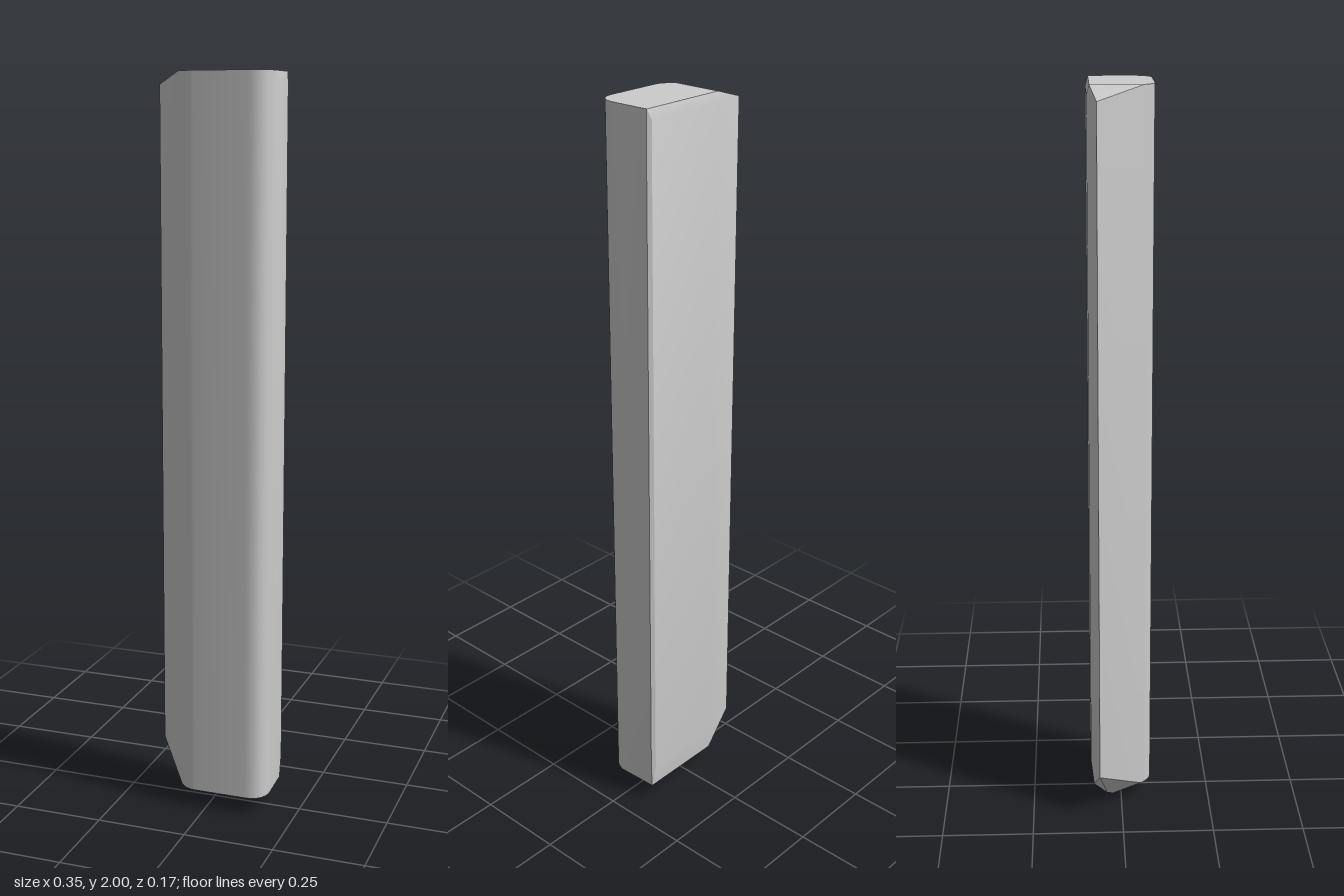
import * as THREE from 'three';
import { ConvexGeometry } from 'three/addons/geometries/ConvexGeometry.js';
import { toCreasedNormals } from 'three/addons/utils/BufferGeometryUtils.js';

// Half-round plan corner sampled from a quadratic curve
function corner(a, b, c, n) {
  return new THREE.QuadraticBezierCurve(
    new THREE.Vector2(...a), new THREE.Vector2(...b), new THREE.Vector2(...c)
  ).getPoints(n).map((p) => [p.x, p.y]);
}

export function createModel() {
  const group = new THREE.Group();
  const points = [];
  const add = (x, y, z) => points.push(new THREE.Vector3(x, y, z));

  // Rounded front corners, plan coordinates [x, z]
  const front = [
    ...corner([0.171, 0.035], [0.163, 0.084], [0.115, 0.084], 8),
    ...corner([-0.03, 0.084], [-0.06, 0.084], [-0.08, 0.055], 6),
  ];
  for (const [x, z] of front) {
    add(x, 2, z);
    add(x, 0.05, z);
  }

  // Slightly bulged side with a chamfered foot
  add(0.171, 2, 0);
  add(0.176, 1.97, 0);
  add(0.176, 0.12, 0);
  add(0.168, 0.05, 0);

  // Back face with bevels at head and foot
  for (const [x, z, inX] of [[-0.075, -0.086, -0.08], [0.16, -0.086, 0.16], [0.171, -0.079, 0.169]]) {
    add(x, 1.975, z);
    add(x, 0.12, z);
    add(inX, 2, -0.079);
    add(Math.min(inX, 0.167), 0.05, -0.078);
  }

  // Sharp side edge, cut at both ends
  add(-0.178, 1.97, -0.063);
  add(-0.178, 0.13, -0.063);

  // Faceted lower point
  add(-0.052, 0, -0.022);
  add(-0.075, 0.016, -0.04);

  const geometry = toCreasedNormals(new ConvexGeometry(points), 0.4);
  const shaft = new THREE.Mesh(geometry, new THREE.MeshStandardMaterial({ color: 0xcccccc }));
  shaft.name = 'bevelledShaft';
  group.add(shaft);
  return group;
}
